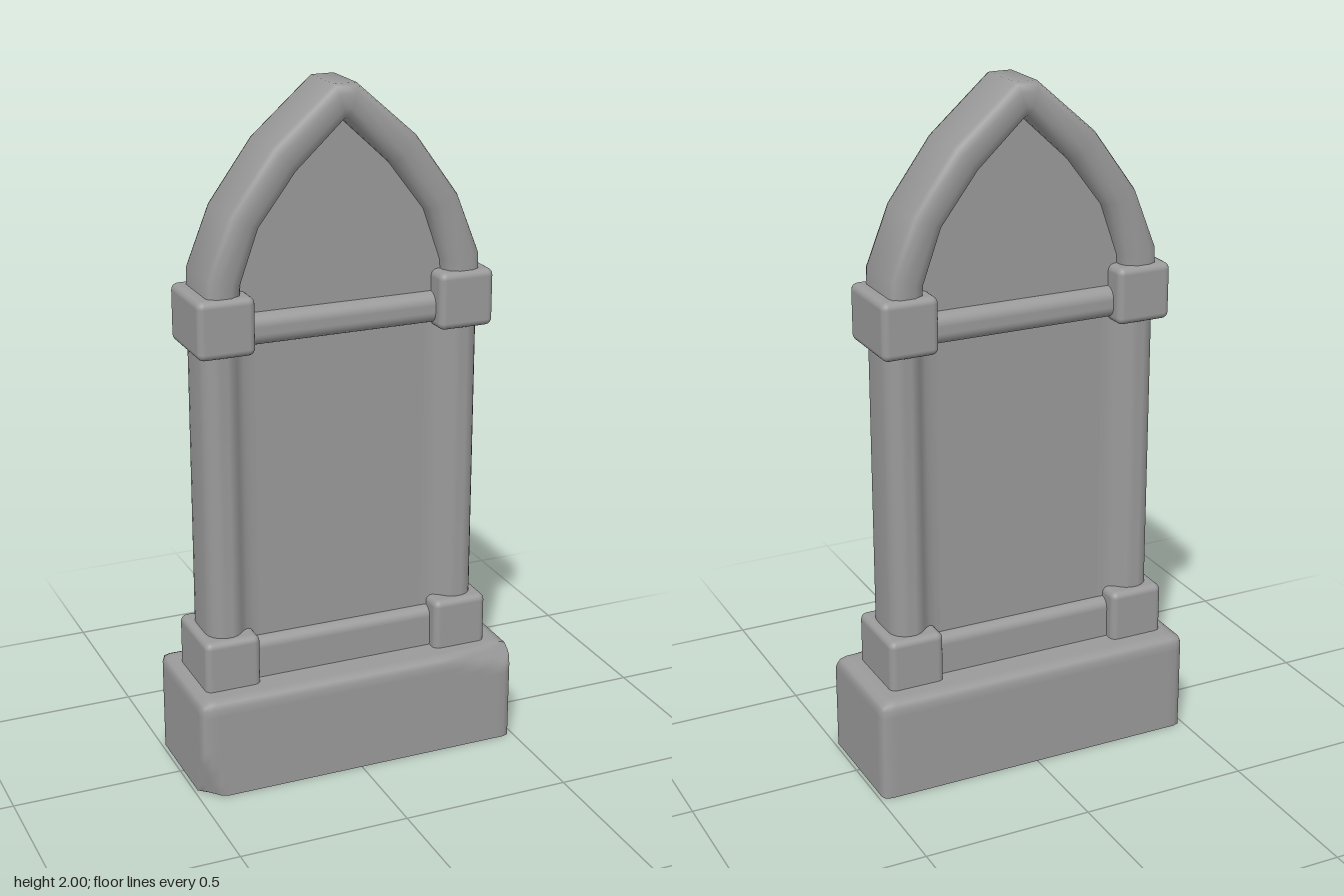
import * as THREE from 'three';
import { RoundedBoxGeometry } from 'three/addons/geometries/RoundedBoxGeometry.js';
import { toCreasedNormals, mergeVertices } from 'three/addons/utils/BufferGeometryUtils.js';

const CX = -0.010; // the upper structure sits slightly off centre on the base
const stone = new THREE.MeshStandardMaterial({ color: 0x9a9a9a });

function add(parent, name, geometry, x = 0, y = 0, z = 0) {
  const mesh = new THREE.Mesh(geometry, stone);
  mesh.name = name;
  mesh.position.set(x, y, z);
  parent.add(mesh);
  return mesh;
}

// Worn plinth: rounded on the sides and top, flat below, with planar chips
function plinthGeometry() {
  const hx = 0.49, hz = 0.187, h = 0.3, r = 0.022;
  let geo = new THREE.BoxGeometry(2 * hx, h, 2 * hz, 40, 14, 18).translate(0, h / 2, 0);
  geo.deleteAttribute('normal');
  geo.deleteAttribute('uv');
  geo = mergeVertices(geo);
  const chips = [
    { n: new THREE.Vector3(-0.7, -0.25, 0.66).normalize(), d: 0.428 },
    { n: new THREE.Vector3(0.15, 0.55, 0.82).normalize(), d: 0.354 },
  ];
  const pos = geo.attributes.position;
  const p = new THREE.Vector3(), core = new THREE.Vector3();
  for (let i = 0; i < pos.count; i++) {
    p.fromBufferAttribute(pos, i);
    core.set(
      THREE.MathUtils.clamp(p.x, -hx + r, hx - r),
      Math.min(p.y, h - r),
      THREE.MathUtils.clamp(p.z, -hz + r, hz - r));
    const out = p.clone().sub(core);
    if (out.length() > r) p.copy(core).addScaledVector(out.normalize(), r);
    for (const { n, d } of chips) {
      const over = p.dot(n) - d;
      if (over > 0) p.addScaledVector(n, -over);
    }
    p.y = Math.max(p.y, 0);
    pos.setXYZ(i, p.x, p.y, p.z);
  }
  return toCreasedNormals(geo, 0.9);
}

// Half of the pointed arch from springing to apex: [outer x, y, inner x, y]
const half = [
  [0.408, 1.40, 0.307, 1.40],
  [0.405, 1.50, 0.300, 1.48],
  [0.337, 1.67, 0.247, 1.63],
  [0.210, 1.845, 0.140, 1.77],
  [0.033, 2.00, 0, 1.90],
];
const stations = [...half, ...half.slice().reverse().map(([a, b, c, d]) => [-a, b, -c, d])];

// Rounded section swept between the outer and inner arch lines: [0 outer..1 inner, z]
function archGeometry() {
  const side = [[0, 0.077], [0.06, 0.093], [0.25, 0.102], [0.65, 0.102], [0.9, 0.088], [1, 0.065]];
  const section = [...side, ...side.slice().reverse().map(([u, z]) => [u, -z])];
  const n = section.length, verts = [], index = [];
  for (const [ox, oy, ix, iy] of stations)
    for (const [u, z] of section)
      verts.push(ox + (ix - ox) * u, oy + (iy - oy) * u, z);
  for (let s = 0; s < stations.length - 1; s++)
    for (let k = 0; k < n; k++) {
      const a = s * n + k, b = s * n + (k + 1) % n;
      index.push(a, a + n, b, b, a + n, b + n);
    }
  const geo = new THREE.BufferGeometry();
  geo.setAttribute('position', new THREE.Float32BufferAttribute(verts, 3));
  geo.setIndex(index);
  return toCreasedNormals(geo, 0.95);
}

// Thin slab filling the frame, ending halfway inside the arch
function panelGeometry() {
  const outline = stations.map(([ox, oy, ix, iy]) => new THREE.Vector2((ox + ix) / 2, (oy + iy) / 2));
  const shape = new THREE.Shape([new THREE.Vector2(0.355, 0.28), ...outline, new THREE.Vector2(-0.355, 0.28)]);
  return new THREE.ExtrudeGeometry(shape, { depth: 0.1, bevelEnabled: false }).translate(0, 0, -0.05);
}

// Upright with a round-ended section whose inner side (-x) flows into the panel
function columnGeometry() {
  const r = 0.055, front = [];
  for (let k = 0; k <= 7; k++) {
    const t = (k / 7) * 2.45;
    front.push([r * Math.cos(t), 0.04 + r * Math.sin(t)]);
  }
  front.push([-0.053, 0.064], [-0.068, 0.055], [-0.09, 0.051], [-0.11, 0.0495]);
  const back = front.slice().reverse().map(([x, z]) => [x, -z]);
  const shape = new THREE.Shape([...front, ...back].map(([x, z]) => new THREE.Vector2(x, z)));
  const geo = new THREE.ExtrudeGeometry(shape, { depth: 0.92, bevelEnabled: false });
  return toCreasedNormals(geo.rotateX(-Math.PI / 2), 0.9);
}

export function createModel() {
  const model = new THREE.Group();
  model.name = 'gravestone';
  add(model, 'plinth', plinthGeometry());

  const upper = new THREE.Group();
  upper.name = 'framedSlab';
  upper.position.x = CX;
  model.add(upper);
  add(upper, 'panel', panelGeometry());
  add(upper, 'arch', archGeometry());

  // Columns with a square foot and cap on each side
  const column = columnGeometry();
  const foot = new RoundedBoxGeometry(0.166, 0.17, 0.235, 3, 0.02);
  const cap = new RoundedBoxGeometry(0.166, 0.166, 0.235, 3, 0.02);
  for (const [side, s] of [['left', 1], ['right', -1]]) {
    add(upper, side + 'Column', column, s * 0.361, 0.41, 0).rotation.y = s > 0 ? 0 : Math.PI;
    add(upper, side + 'Foot', foot, s * 0.358, 0.365, 0);
    add(upper, side + 'Cap', cap, s * 0.358, 1.37, 0);
  }

  // Cross rails between the feet and between the caps
  add(upper, 'lowerRail', new RoundedBoxGeometry(0.64, 0.16, 0.16, 4, 0.03), 0, 0.34, 0);
  add(upper, 'upperRail', new RoundedBoxGeometry(0.64, 0.09, 0.17, 4, 0.035), 0, 1.345, 0);
  return model;
}
